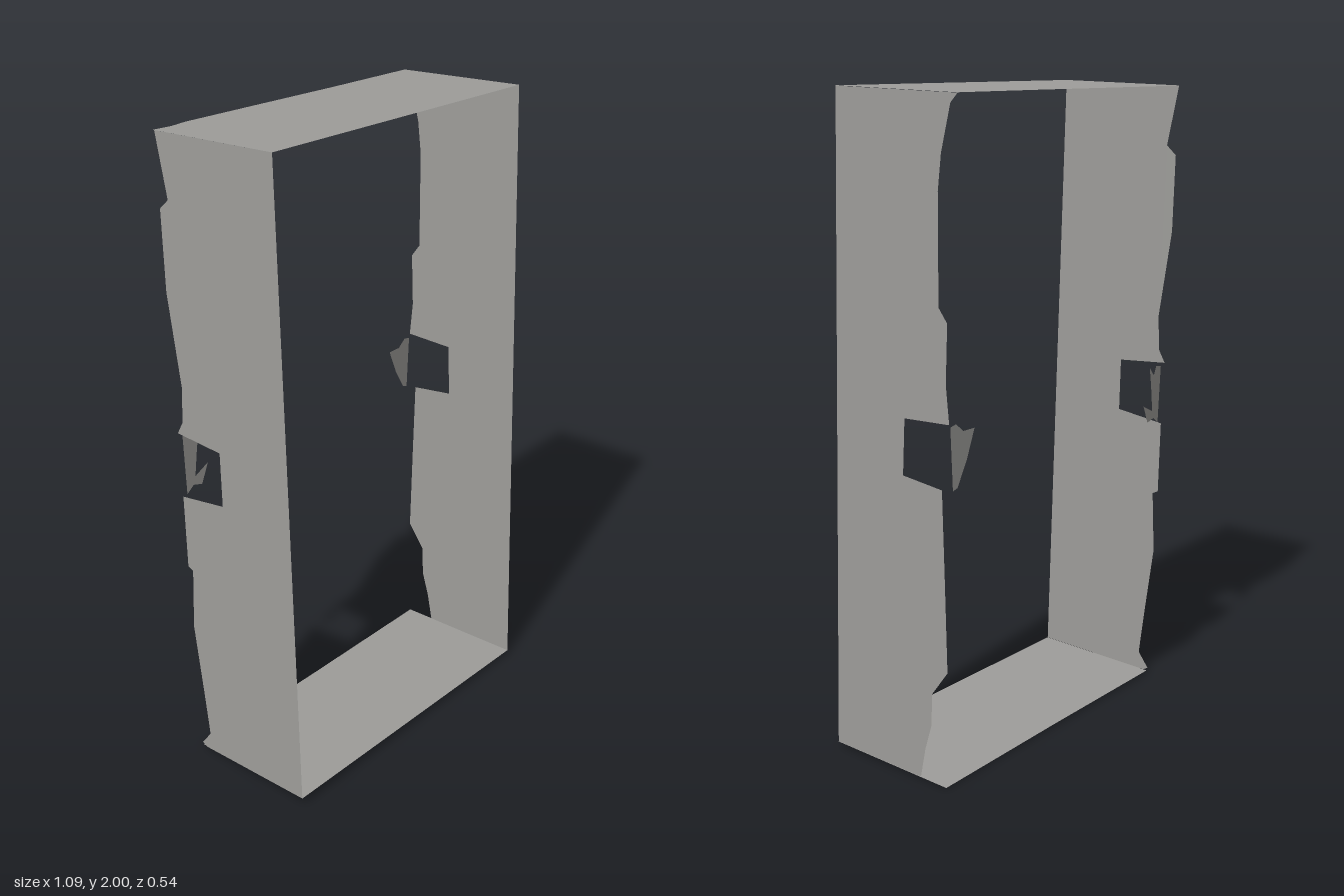
import * as THREE from 'three';

const material = new THREE.MeshStandardMaterial({ color: 0x9f9e9b, side: THREE.DoubleSide });

// Flat sheet from an outline; place(a, b) maps each outline point into space.
function sheet(name, outline, place) {
  const shape = new THREE.Shape(outline.map(([a, b]) => new THREE.Vector2(a, b)));
  const geometry = new THREE.ShapeGeometry(shape);
  const pos = geometry.attributes.position;
  for (let i = 0; i < pos.count; i++) {
    pos.setXYZ(i, ...place(pos.getX(i), pos.getY(i)));
  }
  geometry.computeVertexNormals();
  const mesh = new THREE.Mesh(geometry, material);
  mesh.name = name;
  return mesh;
}

// The frame leans back and is turned slightly, so every sheet follows a tilted plane.
const leftX = (y, z) => 0.535 + 0.0075 * (y - 2) - 0.0227 * (z - 0.195);
const rightX = (y, z) => -0.53 + 0.0075 * (y - 2) - 0.0227 * (z - 0.17);
const topY = (x, z) => 2 - 0.0094 * (x + 0.53) + 0.034 * (z - 0.17);
const bottomY = (x, z) => 0.025 - 0.0094 * (x + 0.545) + 0.034 * (z - 0.245);

export function createModel() {
  const group = new THREE.Group();
  group.name = 'doorFrame';

  // Side jambs as (z, y) outlines: straight front, ragged back, latch notch
  const leftJamb = [
    [0.27, 0.015], [0.195, 1.99], [-0.245, 1.975], [-0.22, 1.95], [-0.185, 1.82],
    [-0.172, 1.72], [-0.168, 1.41], [-0.198, 1.37], [-0.19, 1.2], [-0.2, 1.09],
    [-0.035, 1.085], [-0.025, 0.918], [-0.17, 0.9], [-0.175, 0.65], [-0.18, 0.36],
    [-0.12, 0.28], [-0.115, 0.18], [-0.09, 0.1], [-0.07, 0.005],
  ];
  const rightJamb = [
    [0.245, 0.025], [0.17, 2], [-0.265, 1.985], [-0.225, 1.8], [-0.258, 1.77],
    [-0.25, 1.53], [-0.205, 1.25], [-0.21, 1.14], [-0.232, 1.1], [-0.06, 1.09],
    [-0.055, 0.92], [-0.222, 0.895], [-0.215, 0.66], [-0.195, 0.65], [-0.203, 0.45],
    [-0.17, 0.22], [-0.15, 0.07], [-0.187, 0.02], [-0.17, 0.01],
  ];
  group.add(sheet('leftJamb', leftJamb, (z, y) => [leftX(y, z), y, z]));
  group.add(sheet('rightJamb', rightJamb, (z, y) => [rightX(y, z), y, z]));

  // Head and sill as (x, z) outlines
  const head = [
    [-0.53, 0.17], [0.535, 0.195], [0.545, -0.245], [0.51, -0.245], [0.2, -0.25],
    [-0.14, -0.262], [-0.4, -0.27], [-0.46, -0.262], [-0.52, -0.27],
  ];
  const sill = [[-0.545, 0.245], [0.52, 0.27], [0.53, -0.17], [0, -0.175], [-0.535, -0.185]];
  group.add(sheet('head', head, (x, z) => [x, topY(x, z), z]));
  group.add(sheet('sill', sill, (x, z) => [x, bottomY(x, z), z]));

  // Torn flaps folded inward behind the notches, as (x, y) outlines
  const leftFlap = [[0.42, 1.06], [0.47, 1.06], [0.5, 1.085], [0.525, 1.08], [0.525, 0.9], [0.505, 0.905], [0.46, 0.975]];
  const rightFlap = [
    [-0.518, 1.09], [-0.49, 1.095], [-0.478, 1.065], [-0.45, 1.095], [-0.465, 1.03],
    [-0.48, 0.945], [-0.425, 0.97], [-0.455, 0.91], [-0.49, 0.92], [-0.518, 0.9],
  ];
  group.add(sheet('leftFlap', leftFlap, (x, y) => [x, y, -0.197 + 0.04 * (y - 1)]));
  group.add(sheet('rightFlap', rightFlap, (x, y) => [x, y, -0.22 + 0.04 * (1 - y)]));

  return group;
}
